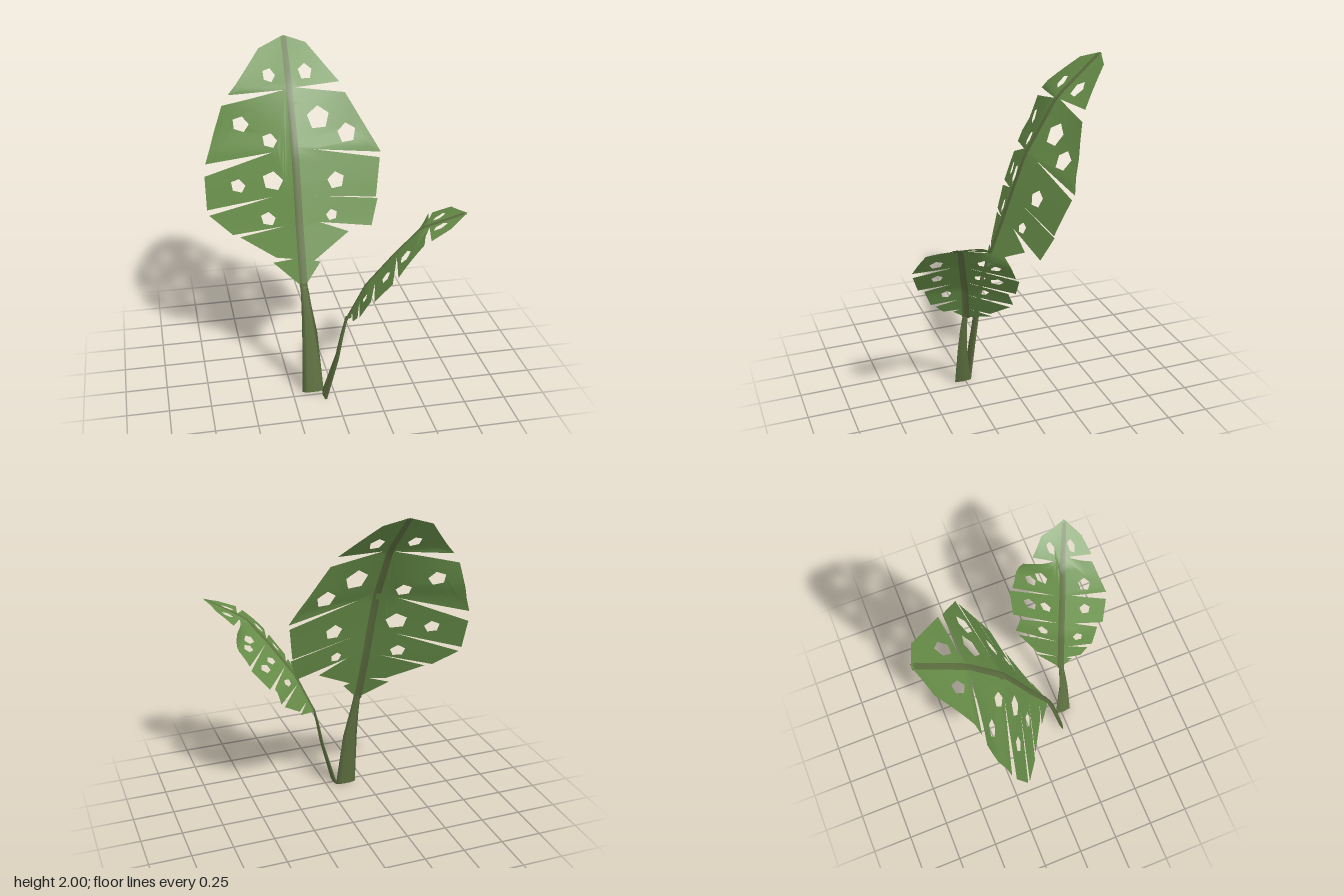
import * as THREE from 'three';
import { mergeVertices } from 'three/addons/utils/BufferGeometryUtils.js';

const leafMat = new THREE.MeshStandardMaterial({ color: 0x69904a, side: THREE.DoubleSide });
leafMat.name = 'leaf green';
const ribMat = new THREE.MeshStandardMaterial({ color: 0x5f7141, side: THREE.DoubleSide });
ribMat.name = 'stem olive';

// Outlines run from the tip down one side and up the other, in hundredths.
// holes: sideways, height, radius. rib rows: height, sideways position, depth.
// slopes: depth gained per unit away from the rib, on the minus and plus side.
const LARGE = {
  outline: [[-14, 200], [-1, 196], [16, 176], [-11, 175], [19, 170], [39, 135], [-4, 142], [38, 132], [34, 110],
    [-4, 116], [35, 109], [30, 94], [-3, 101], [15, 93], [-8, 80], [-4, 79], [-15.5, 66],
    [-32, 79], [-20, 82], [-30, 82], [-50, 92], [-24, 100], [-54, 93], [-67, 103], [-30, 116], [-68, 106], [-68, 125],
    [-28, 141], [-67, 132], [-55, 165], [-18, 174], [-51, 171], [-30, 194]],
  holes: [[-26, 181, 3.5], [-45, 155, 4.5], [-29, 147, 4], [-49, 121, 4], [-29, 125, 5.5], [-33, 103.5, 4],
    [-4, 182, 4], [1, 158, 6.5], [18, 148, 5.5], [9, 123, 5], [5, 104, 3.3]],
  rib: [[0.66, -0.155, 0.1], [1, -0.155, -0.03], [1.23, -0.153, -0.11], [1.42, -0.152, -0.18],
    [1.75, -0.15, -0.375], [2, -0.14, -0.645]],
  slopes: [-0.37, -0.2], fadeLength: 0.5, ribWidth: 0.046,
  place: (u, v, d) => [u, v, d],
};
const SMALL = {
  outline: [[53, 127], [60, 121.5], [62, 116], [47, 117], [61, 113.5], [65, 97], [44, 99], [64, 93], [59, 80],
    [41, 83], [55, 78], [50, 66], [35, 68], [47, 64], [42, 59], [32, 59.5], [36, 58], [28, 52],
    [16, 57], [27, 60], [17, 59], [9, 68], [29, 72], [8, 70.5], [12, 79.5], [32, 84], [9, 81], [11, 94],
    [35, 99], [13, 96], [22, 114], [40, 116], [28, 117], [37, 124]],
  holes: [[52, 119.5, 2], [40, 119.8, 2], [53, 103.5, 3.4], [30, 106, 2.8], [24, 103, 2.4],
    [50, 90, 3], [28, 91, 2.4], [20, 90, 2.8], [42, 74, 2.8], [23, 77, 2.4]],
  rib: [[0.52, 0.28, 0.06], [0.77, 0.32, 0.17], [1, 0.385, 0.33], [1.15, 0.43, 0.45], [1.27, 0.53, 0.68]],
  slopes: [0.85, -0.15], fadeLength: 0.2, ribWidth: 0.036,
  place: (u, v, d) => [d, v, u],
};

// Midrib position and depth at a height
function ribAt(rows, v) {
  let i = 0;
  while (i < rows.length - 2 && v > rows[i + 1][0]) i++;
  const [a, b] = [rows[i], rows[i + 1]];
  const t = THREE.MathUtils.clamp((v - a[0]) / (b[0] - a[0]), 0, 1);
  return [a[1] + (b[1] - a[1]) * t, a[2] + (b[2] - a[2]) * t];
}

// Fold a flat point along the midrib
function bend(leaf, u, v, lift = 0) {
  const [ru, rd] = ribAt(leaf.rib, v);
  const d = u - ru;
  const fade = THREE.MathUtils.clamp((leaf.rib.at(-1)[0] - v) / leaf.fadeLength, 0, 1);
  return leaf.place(u, v, rd + fade * leaf.slopes[d < 0 ? 0 : 1] * Math.abs(d) + lift);
}

// Split every triangle into four, several times
function subdivide(tris, times) {
  if (!times) return tris;
  const mid = (p, q) => [(p[0] + q[0]) / 2, (p[1] + q[1]) / 2];
  return subdivide(tris.flatMap(([a, b, c]) => {
    const ab = mid(a, b), bc = mid(b, c), ca = mid(c, a);
    return [[a, ab, ca], [ab, b, bc], [ca, bc, c], [ab, bc, ca]];
  }), times - 1);
}

function smoothMesh(positions, material, name) {
  let geo = new THREE.BufferGeometry();
  geo.setAttribute('position', new THREE.Float32BufferAttribute(positions, 3));
  geo = mergeVertices(geo, 1e-5);
  geo.computeVertexNormals();
  const mesh = new THREE.Mesh(geo, material);
  mesh.name = name;
  return mesh;
}

// Five-cornered hole in the flat blade
function makeHole([u, v, r], n) {
  const pts = [];
  for (let k = 0; k < 5; k++) {
    const a = n * 1.3 + k * Math.PI * 0.4;
    pts.push(new THREE.Vector2((u + r * 1.1 * Math.cos(a)) / 100, (v + r * Math.sin(a)) / 100));
  }
  return new THREE.Path(pts);
}

// Split blade with holes, cut flat in two halves that meet at the rib
function makeBlade(leaf) {
  const edge = leaf.outline.map(([u, v]) => [u / 100, v / 100]);
  const base = edge.reduce((best, p, i) => (p[1] < edge[best][1] ? i : best), 0);
  const spine = [];
  for (let i = 1; i < 12; i++) {
    const v = THREE.MathUtils.lerp(edge[base][1], edge[0][1], i / 12);
    spine.push([ribAt(leaf.rib, v)[0], v]);
  }
  const first = [...edge.slice(0, base + 1), ...spine];
  const second = [...edge.slice(base), edge[0], ...[...spine].reverse()];
  const firstSide = Math.sign(edge[1][0] - edge[0][0]);
  const tris = [];
  [[first, firstSide], [second, -firstSide]].forEach(([half, side]) => {
    const shape = new THREE.Shape(half.map(([u, v]) => new THREE.Vector2(u, v)));
    leaf.holes.forEach((hole, n) => {
      const offset = hole[0] / 100 - ribAt(leaf.rib, hole[1] / 100)[0];
      if (Math.sign(offset) === side) shape.holes.push(makeHole(hole, n));
    });
    const flat = new THREE.ShapeGeometry(shape).toNonIndexed().attributes.position;
    for (let i = 0; i < flat.count; i += 3) {
      tris.push([0, 1, 2].map((k) => [flat.getX(i + k), flat.getY(i + k)]));
    }
  });
  const pos = subdivide(tris, 2).flat().flatMap(([u, v]) => bend(leaf, u, v));
  return smoothMesh(pos, leafMat, 'blade');
}

// Thin midrib strip, one on each face of the blade
function makeRib(leaf, lift, name) {
  const bottom = leaf.rib[0][0], top = leaf.rib.at(-1)[0] - 0.006, steps = 24, pos = [];
  const corner = (i, side) => {
    const t = i / steps, v = bottom + (top - bottom) * t;
    const half = leaf.ribWidth * (0.5 - 0.12 * t * t);
    return bend(leaf, ribAt(leaf.rib, v)[0] + side * half, v, lift);
  };
  for (let i = 0; i < steps; i++) {
    for (const [l, r] of [[-1, 0], [0, 1]]) {
      const a = corner(i, l), b = corner(i, r), c = corner(i + 1, r), d = corner(i + 1, l);
      pos.push(...a, ...b, ...c, ...a, ...c, ...d);
    }
  }
  return smoothMesh(pos, ribMat, name);
}

// Flattened stem lofted from ellipses: y, x, z, half width, half depth
function makeStem(rows, name) {
  const sides = 6, pos = [];
  const point = ([y, x, z, rx, rz], k) => {
    const a = (k / sides) * Math.PI * 2;
    return [x + rx * Math.cos(a), y, z + rz * Math.sin(a)];
  };
  for (let i = 0; i < rows.length - 1; i++) {
    for (let k = 0; k < sides; k++) {
      const a = point(rows[i], k), b = point(rows[i], k + 1);
      const c = point(rows[i + 1], k + 1), d = point(rows[i + 1], k);
      pos.push(...a, ...d, ...c, ...a, ...c, ...b);
    }
  }
  return smoothMesh(pos, ribMat, name);
}

function makeLeaf(leaf, stemRows, name) {
  const group = new THREE.Group();
  group.name = name;
  group.add(makeBlade(leaf), makeRib(leaf, 0.006, 'midribA'), makeRib(leaf, -0.006, 'midribB'),
    makeStem(stemRows, 'stem'));
  return group;
}

export function createModel() {
  const plant = new THREE.Group();
  plant.name = 'plant';
  plant.add(
    makeLeaf(LARGE, [[0, -0.125, 0.212, 0.066, 0.013], [0.38, -0.132, 0.152, 0.046, 0.013],
      [0.55, -0.145, 0.12, 0.03, 0.011], [0.69, -0.155, 0.09, 0.021, 0.008]], 'largeLeaf'),
    makeLeaf(SMALL, [[0, -0.063, 0.265, 0.012, 0.056], [0.28, 0.01, 0.287, 0.01, 0.031],
      [0.42, 0.037, 0.286, 0.009, 0.023], [0.54, 0.066, 0.283, 0.007, 0.016]], 'smallLeaf'),
  );
  return plant;
}
